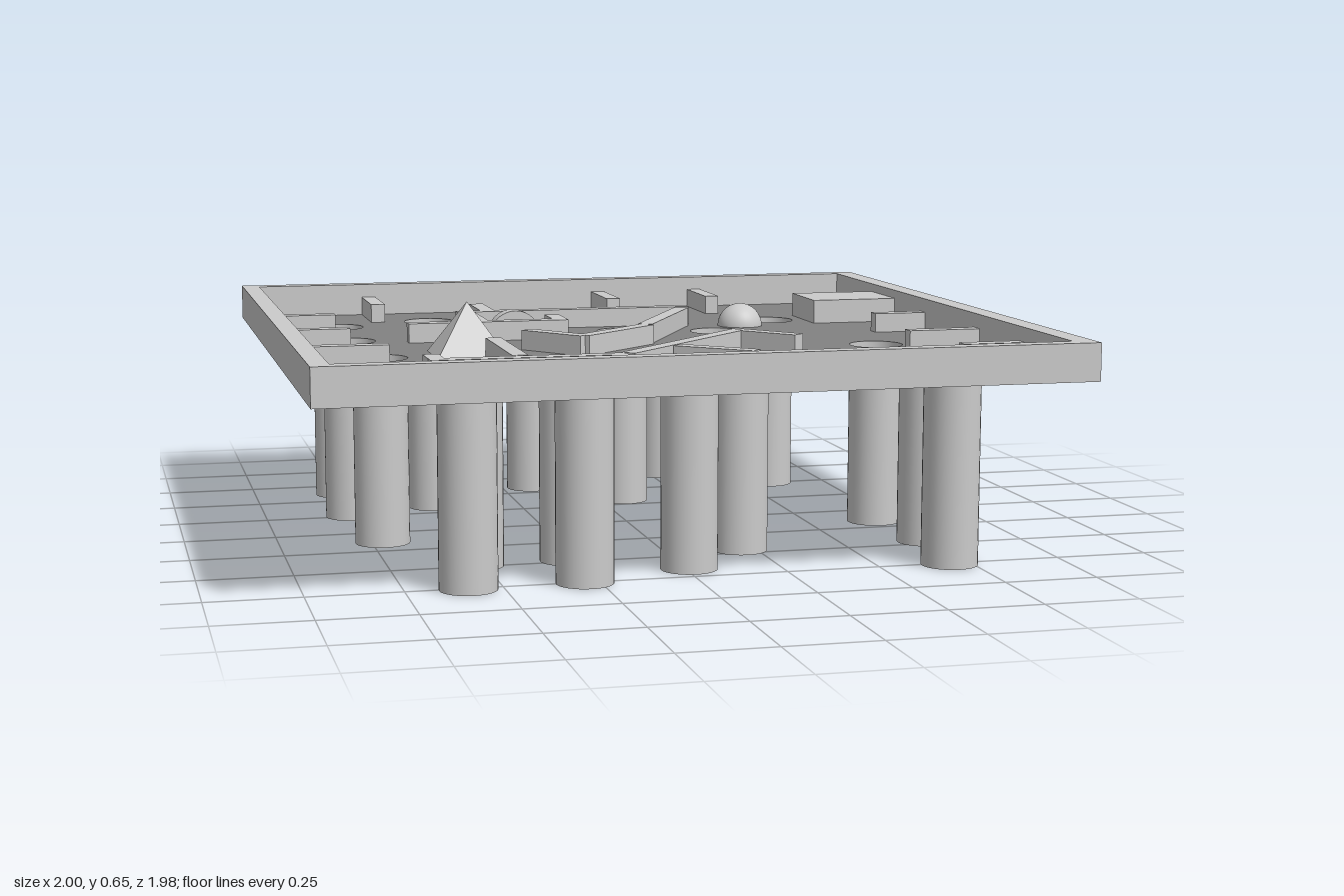
import * as THREE from 'three';

const grey = new THREE.MeshStandardMaterial({ color: 0xcccccc });
const greyThin = new THREE.MeshStandardMaterial({ color: 0xcccccc, side: THREE.DoubleSide });
const dark = new THREE.MeshStandardMaterial({ color: 0x828282 });

const BASE = 0.505, FLOOR = 0.51, TOP = 0.605, R = 0.075;

// Pocket centres [x, z]
const pockets = [
  [-0.745, -0.615], [-0.455, -0.71], [-0.16, -0.59], [0.285, -0.72], [0.57, -0.5],
  [-0.5, -0.35], [0.065, -0.325], [0.335, -0.26], [-0.755, -0.26], [-0.445, -0.075],
  [-0.72, 0.135], [-0.525, 0.49], [-0.275, 0.48], [0.205, 0.455], [0.69, 0.16],
  [0.73, 0.465], [-0.59, 0.76], [-0.29, 0.755], [0.01, 0.655], [0.69, 0.76],
];

// Barrier centre lines [x1, z1, x2, z2]
const barriers = [
  // stubs on the back, left, right and front walls
  [-0.61, -0.94, -0.61, -0.715], [0.13, -0.94, 0.13, -0.715], [0.45, -0.94, 0.45, -0.715],
  [-0.95, -0.48, -0.77, -0.48], [-0.95, -0.12, -0.77, -0.12], [-0.95, 0.27, -0.715, 0.27],
  [0.785, -0.135, 0.94, -0.135], [0.735, 0.295, 0.94, 0.295], [0.77, 0.615, 0.94, 0.615],
  [-0.465, 0.81, -0.465, 0.94], [0.23, 0.81, 0.23, 0.94],
  // maze around the arch
  [-0.315, -0.665, -0.315, -0.48], [-0.41, -0.46, 0.3, -0.46], [-0.38, -0.44, -0.38, -0.21],
  [-0.595, -0.195, -0.13, -0.195], [-0.15, -0.32, -0.15, -0.21],
  // maze in front of the pyramid
  [-0.42, 0.2, -0.42, 0.585], [-0.66, 0.615, -0.15, 0.615], [-0.64, 0.51, -0.64, 0.6],
  [-0.165, 0.61, -0.165, 0.73],
  // slanted barriers
  [0.27, -0.415, 0.06, -0.02], [0.065, -0.01, -0.17, 0.2], [-0.165, 0.205, -0.295, 0.035],
  [0.285, 0.165, -0.14, 0.6], [0.28, 0.17, 0.41, 0.32], [0.025, 0.47, 0.2, 0.625],
];

function add(parent, name, geometry, material = grey, x = 0, y = 0, z = 0) {
  const mesh = new THREE.Mesh(geometry, material);
  mesh.name = name;
  mesh.position.set(x, y, z);
  parent.add(mesh);
  return mesh;
}

// Box given by its extents
function block(parent, name, x0, x1, y0, y1, z0, z1) {
  return add(parent, name, new THREE.BoxGeometry(x1 - x0, y1 - y0, z1 - z0), grey,
    (x0 + x1) / 2, (y0 + y1) / 2, (z0 + z1) / 2);
}

export function createModel() {
  const model = new THREE.Group();
  model.name = 'ballGameTray';

  // Thin floor with a round hole over each pocket
  const plan = new THREE.Shape([[-0.97, -0.97], [0.96, -0.97], [0.96, 0.97], [-0.97, 0.97]]
    .map(([x, z]) => new THREE.Vector2(x, z)));
  for (const [x, z] of pockets) {
    plan.holes.push(new THREE.Path().absarc(x, z, R, 0, Math.PI * 2, true));
  }
  const floor = new THREE.ExtrudeGeometry(plan, { depth: 0.007, bevelEnabled: false, curveSegments: 32 });
  floor.rotateX(Math.PI / 2);
  add(model, 'floor', floor, dark, 0, FLOOR, 0);

  // Rim walls
  const rim = new THREE.Group();
  rim.name = 'rim';
  block(rim, 'leftRim', 0.94, 1, BASE, TOP, -0.99, 0.99);
  block(rim, 'rightRim', -1, -0.95, BASE, TOP, -0.99, 0.99);
  block(rim, 'backRim', -0.95, 0.94, BASE, TOP, -0.99, -0.94);
  block(rim, 'frontRim', -0.95, 0.94, BASE, TOP, 0.945, 0.99);
  model.add(rim);

  // Open pocket tubes, each closed by a disc at the bottom
  const wall = new THREE.CylinderGeometry(R, R, FLOOR, 32, 1, true).translate(0, FLOOR / 2, 0);
  const disc = new THREE.CircleGeometry(R, 32).rotateX(Math.PI / 2);
  for (const [x, z] of pockets) {
    const pocket = new THREE.Group();
    pocket.name = 'pocket';
    pocket.position.set(x, 0, z);
    add(pocket, 'pocketWall', wall, greyThin);
    add(pocket, 'pocketBottom', disc, greyThin);
    model.add(pocket);
  }

  // Low barriers
  const height = 0.055;
  for (const [x1, z1, x2, z2] of barriers) {
    const length = Math.hypot(x2 - x1, z2 - z1);
    const bar = add(model, 'barrier', new THREE.BoxGeometry(length, height, 0.042), grey,
      (x1 + x2) / 2, FLOOR + height / 2, (z1 + z2) / 2);
    bar.rotation.y = -Math.atan2(z2 - z1, x2 - x1);
  }

  // Pyramid
  const pyramid = new THREE.ConeGeometry(0.096 * Math.SQRT2, 0.145, 4, 1).rotateY(Math.PI / 4);
  add(model, 'pyramid', pyramid.toNonIndexed(), new THREE.MeshStandardMaterial({ color: 0xcccccc, flatShading: true }),
    -0.475, FLOOR + 0.0725, 0.103);

  // Dome
  add(model, 'dome', new THREE.SphereGeometry(0.067, 32, 16, 0, Math.PI * 2, 0, Math.PI / 2), grey, 0.445, FLOOR, -0.382);

  // Arch: half ring standing on the floor
  const arch = new THREE.Shape();
  arch.absarc(0, 0, 0.075, 0, Math.PI, false);
  arch.absarc(0, 0, 0.048, Math.PI, 0, true);
  add(model, 'arch', new THREE.ExtrudeGeometry(arch, { depth: 0.05, bevelEnabled: false, curveSegments: 24 }),
    grey, -0.27, FLOOR, -0.31);

  // Raised platform against the rim
  block(model, 'platform', 0.68, 0.94, FLOOR, 0.58, -0.6, -0.38);

  return model;
}
